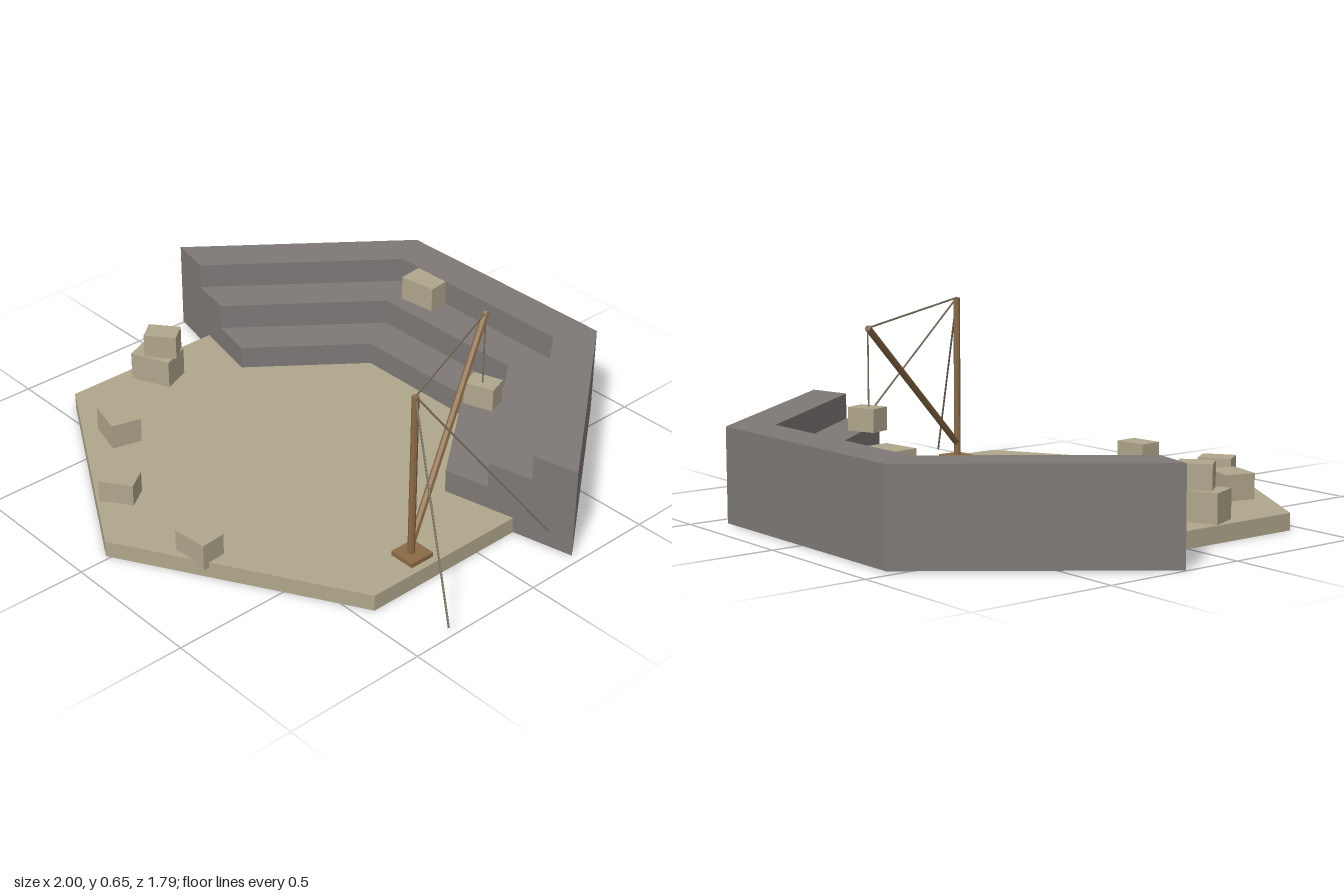
import * as THREE from 'three';

const paleStone = new THREE.MeshStandardMaterial({ color: 0xb0a68c });
const greyStone = new THREE.MeshStandardMaterial({ color: 0x7e7977 });
const wood = new THREE.MeshStandardMaterial({ color: 0x8a6a45 });
const rope = new THREE.MeshStandardMaterial({ color: 0x7a725f });
paleStone.name = 'paleStone';
greyStone.name = 'greyStone';
wood.name = 'wood';
rope.name = 'rope';

const CX = -0.015;   // plan centre of floor and terrace
const FLOOR = 0.057;

function add(parent, name, geometry, material) {
  const mesh = new THREE.Mesh(geometry, material);
  mesh.name = name;
  parent.add(mesh);
  return mesh;
}

// Vertical prism over a plan outline of [x, z] points
function prism(points, bottom, top) {
  const shape = new THREE.Shape(points.map(([x, z]) => new THREE.Vector2(x, -z)));
  return new THREE.ExtrudeGeometry(shape, { depth: top - bottom, bevelEnabled: false })
    .rotateX(-Math.PI / 2).translate(0, bottom, 0);
}

// Straight pole between two points
function pole(parent, name, a, b, radius, sides, material) {
  const from = new THREE.Vector3(...a), to = new THREE.Vector3(...b);
  const dir = to.clone().sub(from);
  const geo = new THREE.CylinderGeometry(radius, radius, dir.length(), sides).toNonIndexed();
  geo.computeVertexNormals();
  const mesh = add(parent, name, geo, material);
  mesh.position.copy(from).add(to).multiplyScalar(0.5);
  mesh.quaternion.setFromUnitVectors(new THREE.Vector3(0, 1, 0), dir.normalize());
}

function block(parent, name, [x, z], [w, d], bottom, top, turn) {
  const mesh = add(parent, name, new THREE.BoxGeometry(w, top - bottom, d), paleStone);
  mesh.position.set(x, (bottom + top) / 2, z);
  mesh.rotation.y = turn;
}

export function createModel() {
  const model = new THREE.Group();
  model.name = 'quarry';

  // Hexagonal floor
  const hexagon = [];
  for (let i = 0; i < 6; i++) {
    const a = i * Math.PI / 3;
    hexagon.push([CX + 0.89 * Math.sin(a), 0.892 * Math.cos(a)]);
  }
  add(model, 'floor', prism(hexagon, 0, FLOOR), paleStone);

  // Three-stepped terrace: each step fills the band between two nested outlines
  const terrace = new THREE.Group();
  terrace.name = 'terrace';
  model.add(terrace);
  const outline = (t) => {
    const endX = 0.517 + 0.468 * t, endZ = -0.105 - 0.105 * t;
    const backX = 0.232 + 0.213 * t, backZ = -0.47 - 0.43 * t;
    return [[CX - endX, endZ], [CX - backX, backZ], [CX + backX, backZ], [CX + endX, endZ]];
  };
  [0.138, 0.23, 0.32].forEach((height, i) => {
    const band = [...outline(i / 3), ...outline((i + 1) / 3).reverse()];
    add(terrace, 'step' + (i + 1), prism(band, 0.002, height), greyStone);
  });

  // Cut blocks lying about
  const blocks = new THREE.Group();
  blocks.name = 'blocks';
  model.add(blocks);
  block(blocks, 'ledgeBlock', [-0.23, -0.725], [0.138, 0.105], 0.23, 0.319, 0.11);
  block(blocks, 'stackLowerBlock', [-0.69, 0.15], [0.15, 0.11], 0.05, 0.157, 0.4);
  block(blocks, 'stackUpperBlock', [-0.672, 0.138], [0.115, 0.08], 0.157, 0.242, 0.68);
  block(blocks, 'looseBlock1', [-0.473, 0.486], [0.135, 0.105], 0.05, 0.145, -0.26);
  block(blocks, 'looseBlock2', [-0.184, 0.702], [0.118, 0.087], 0.038, 0.132, 0.6);
  block(blocks, 'looseBlock3', [0.225, 0.701], [0.125, 0.088], 0.038, 0.132, 0.09);

  // Derrick crane with a hanging block
  const crane = new THREE.Group();
  crane.name = 'crane';
  model.add(crane);
  const mastTop = [0.685, 0.65, 0.225], boomTip = [0.418, 0.602, -0.35];
  add(crane, 'base', new THREE.BoxGeometry(0.092, 0.016, 0.092), wood)
    .position.set(0.685, FLOOR + 0.008, 0.22);
  pole(crane, 'mast', [0.685, FLOOR, 0.225], mastTop, 0.012, 8, wood);
  pole(crane, 'boom', [0.685, 0.12, 0.22], boomTip, 0.012, 6, wood);
  pole(crane, 'boomRope', mastTop, boomTip, 0.0035, 5, rope);
  pole(crane, 'hoistRope', boomTip, [0.418, 0.33, -0.35], 0.003, 5, rope);
  pole(crane, 'frontGuyRope', mastTop, [0.998, 0.036, 0.368], 0.0035, 5, rope);
  pole(crane, 'backGuyRope', mastTop, [0.888, 0.067, -0.185], 0.0035, 5, rope);
  block(crane, 'hangingBlock', [0.416, -0.357], [0.106, 0.077], 0.255, 0.335, 0.34);

  return model;
}
